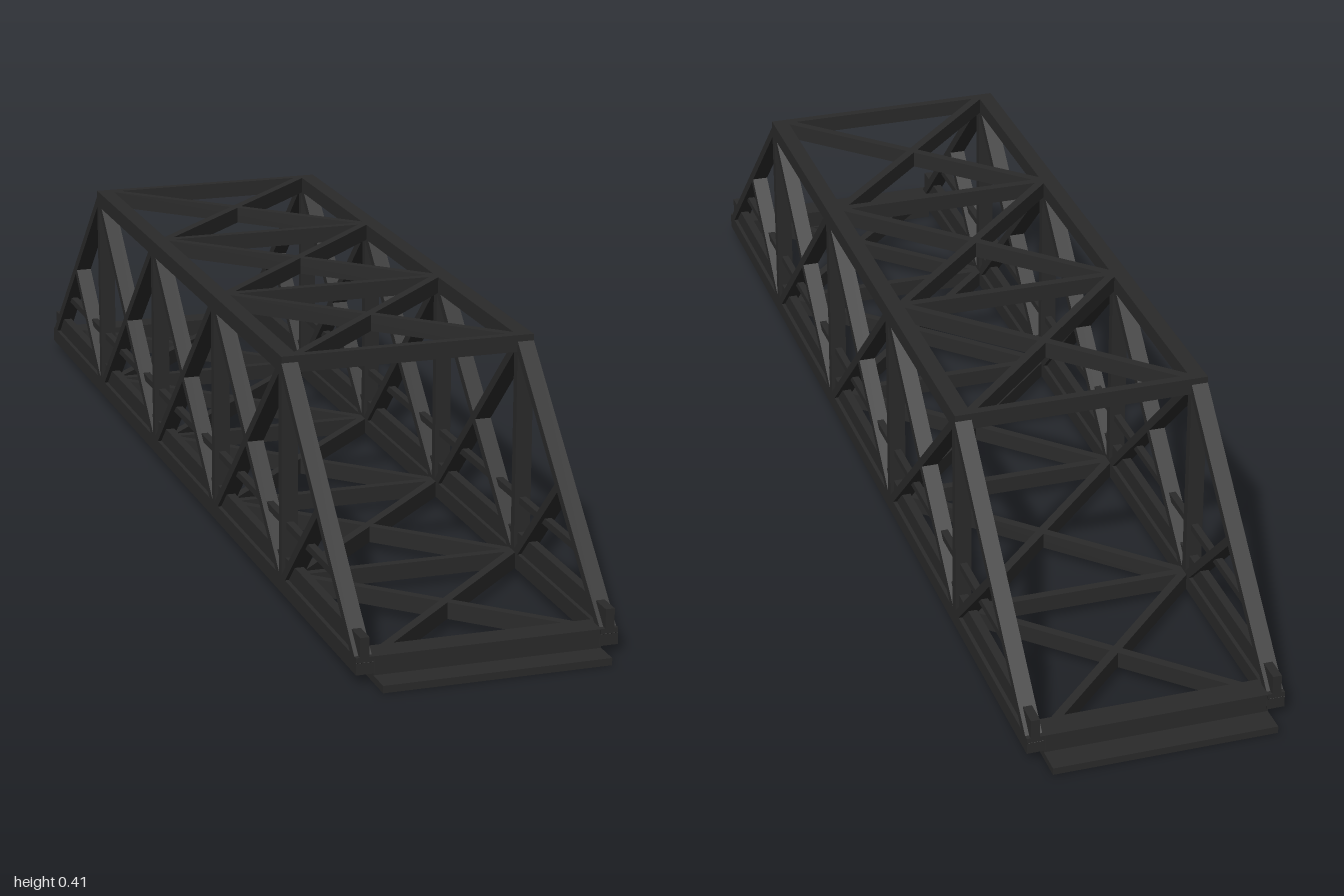
import * as THREE from 'three';

const steel = new THREE.MeshStandardMaterial({ color: 0x2a2a2a, flatShading: true });
const X = new THREE.Vector3(1, 0, 0);
const Y = new THREE.Vector3(0, 1, 0);

// Straight bar from a to b; "wide" is the axis along which its section measures w
function bar(parent, name, a, b, wide, w, t) {
  const p = new THREE.Vector3(...a), q = new THREE.Vector3(...b);
  const dir = q.clone().sub(p);
  const length = dir.length();
  dir.normalize();
  const mesh = new THREE.Mesh(new THREE.BoxGeometry(w, t, length), steel);
  const up = dir.clone().cross(wide).normalize();
  mesh.quaternion.setFromRotationMatrix(new THREE.Matrix4().makeBasis(wide, up, dir));
  mesh.position.copy(p).add(q).multiplyScalar(0.5);
  mesh.name = name;
  parent.add(mesh);
}

function box(parent, name, size, pos) {
  const mesh = new THREE.Mesh(new THREE.BoxGeometry(...size), steel);
  mesh.position.set(...pos);
  mesh.name = name;
  parent.add(mesh);
}

export function createModel() {
  const bridge = new THREE.Group();
  bridge.name = 'trussBridge';

  const W = 0.028, T = 0.015;             // member width and thickness
  const xs = 0.201, low = 0.029, high = 0.4;
  const end = 0.95;
  const nodes = [-0.573, -0.191, 0.191, 0.573];
  const outer = nodes[3];

  // Side trusses
  for (const s of [-1, 1]) {
    const x = s * xs;
    const truss = new THREE.Group();
    truss.name = s > 0 ? 'leftTruss' : 'rightTruss';
    bridge.add(truss);

    box(truss, 'bottomChord', [W, W, 1.91], [x, low, 0]);
    box(truss, 'topChord', [W, W, 2 * outer + T], [x, high, 0]);
    box(truss, 'guardBeam', [0.015, 0.032, 1.91], [x, 0.059, 0]);
    box(truss, 'handrail', [0.012, 0.012, 1.68], [x, 0.13, 0]);

    for (const z of nodes) bar(truss, 'post', [x, low, z], [x, high, z], X, W, T);

    // Crossed diagonals of the full panels
    for (let i = 0; i < 3; i++) {
      bar(truss, 'diagonal', [x, low, nodes[i]], [x, high, nodes[i + 1]], X, W, T);
      bar(truss, 'diagonal', [x, high, nodes[i]], [x, low, nodes[i + 1]], X, W, T);
    }

    // Sloping end posts, each propped by a half diagonal
    for (const e of [-1, 1]) {
      bar(truss, 'endPost', [x, low, e * end], [x, high, e * outer], X, W, T);
      bar(truss, 'halfDiagonal', [x, low, e * outer],
        [x, (low + high) / 2, e * (end + outer) / 2], X, W, T);
    }
  }

  // Cross struts and crossed lateral bracing, at floor and top level
  const levels = [
    ['floor', low, [-end, ...nodes, end]],
    ['top', high, nodes],
  ];
  for (const [label, y, zs] of levels) {
    for (const z of nodes) bar(bridge, label + 'Strut', [-xs, y, z], [xs, y, z], Y, W, T);
    for (let i = 0; i < zs.length - 1; i++) {
      for (const s of [-1, 1]) {
        bar(bridge, label + 'Brace', [-s * 0.19, y, zs[i]], [s * 0.19, y, zs[i + 1]], Y, W, T);
      }
    }
  }

  // End beams on their bearing plates
  for (const e of [-1, 1]) {
    box(bridge, 'endBeam', [0.374, 0.031, 0.045], [0, 0.0275, e * 0.9325]);
    box(bridge, 'bearingPlate', [0.374, 0.012, 0.095], [0, 0.006, e * 0.9525]);
  }

  return bridge;
}
